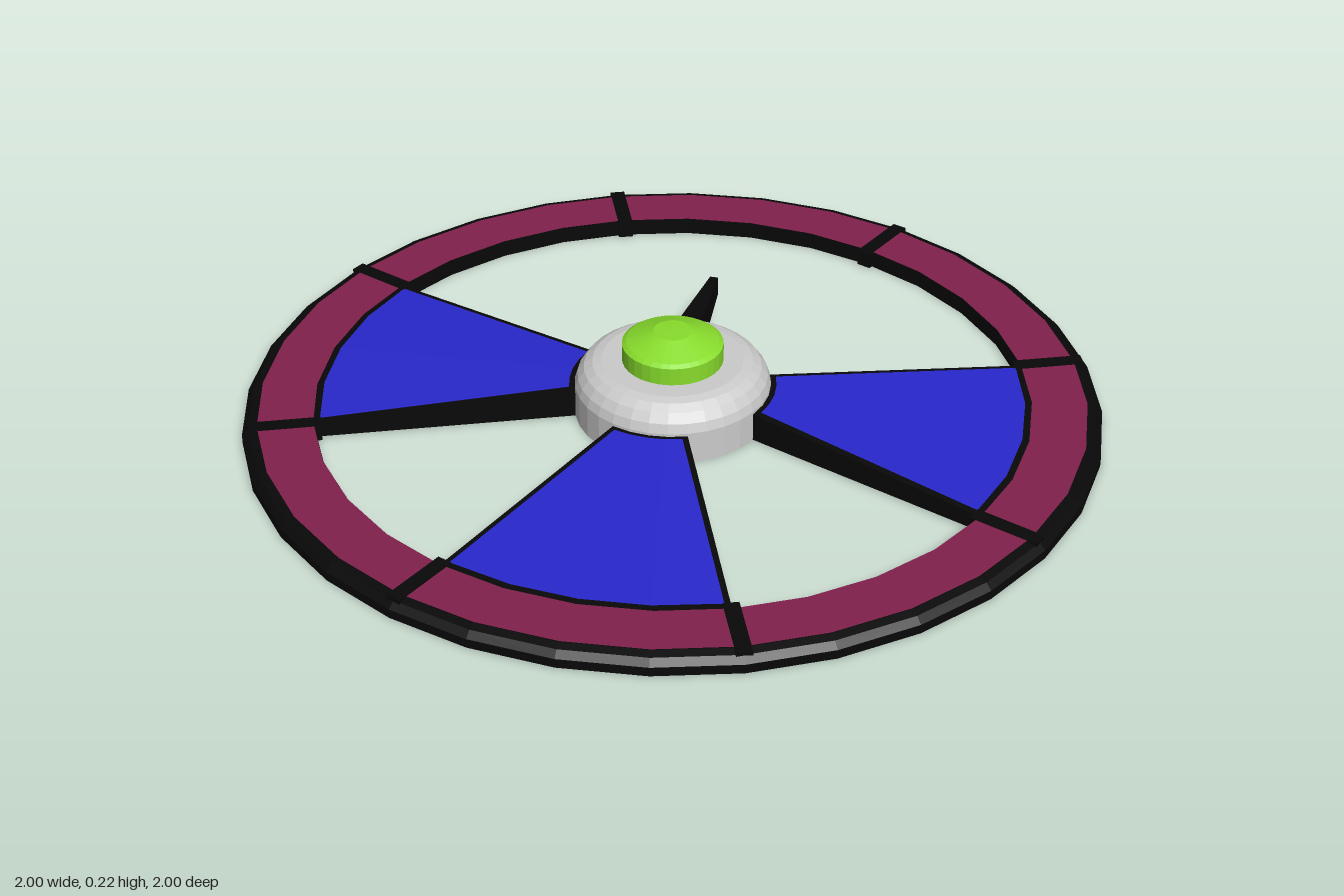
import * as THREE from 'three';
import { ParametricGeometry } from 'three/addons/geometries/ParametricGeometry.js';

const SIDES = 32;
const mat = (color, side = THREE.FrontSide) =>
  new THREE.MeshStandardMaterial({ color, flatShading: true, side });
const black = mat(0x080808, THREE.DoubleSide);
const purple = mat(0x80204c, THREE.DoubleSide);
const blue = mat(0x2828cc, THREE.DoubleSide);
const lime = mat(0x88dc2c);
const grey = mat(0xcccccc);

const points = (list) => list.map(([x, y]) => new THREE.Vector2(x, y));

function add(parent, name, geometry, material) {
  const mesh = new THREE.Mesh(geometry, material);
  mesh.name = name;
  parent.add(mesh);
  return mesh;
}
const turned = (list, ...arc) => new THREE.LatheGeometry(points(list), ...(arc.length ? arc : [SIDES]));

// Height of a spoke's top at a given radius
const spokeTop = (r) => 0.072 - 0.032 * (r - 0.22) / 0.615;
const HALF = Math.PI / 8;

// Wedge spoke centred on +z: black body, closed sides and an inset panel
function makeSpoke() {
  const spoke = new THREE.Group();
  spoke.name = 'spoke';
  const profile = [[0.2, 0.002], [0.835, 0.002], [0.835, spokeTop(0.835)], [0.2, spokeTop(0.2)]];
  add(spoke, 'spokeBody', turned([...profile, profile[0]], 4, -HALF, 2 * HALF), black);
  for (const phi of [-HALF, HALF]) {
    const side = add(spoke, 'spokeSide', new THREE.ShapeGeometry(new THREE.Shape(points(profile))), black);
    side.rotation.y = phi - Math.PI / 2;
  }
  const panel = new ParametricGeometry((u, v, target) => {
    const r = 0.242 + v * (0.82 - 0.242);
    const phi = (2 * u - 1) * (HALF - 0.014 / r);
    target.set(r * Math.sin(phi), spokeTop(r) + 0.003, r * Math.cos(phi));
  }, 4, 1);
  add(spoke, 'spokePanel', panel, blue);
  return spoke;
}

export function createModel() {
  const model = new THREE.Group();
  model.name = 'wheel';

  // Rim with a bevelled outer edge and a coloured top band
  add(model, 'rim', turned([[0.835, 0], [1, 0], [1, 0.022], [0.985, 0.036], [0.965, 0.04], [0.835, 0.04], [0.835, 0]]), black);
  add(model, 'rimBand', turned([[0.965, 0.042], [0.836, 0.042]]), purple);

  // Eight dividers across the rim
  for (let i = 0; i < 8; i++) {
    const divider = new THREE.Group();
    divider.name = 'rimDivider';
    divider.rotation.y = HALF + i * Math.PI / 4;
    add(divider, 'dividerBar', new THREE.BoxGeometry(0.036, 0.041, 0.168), black).position.set(0, 0.0235, 0.902);
    model.add(divider);
  }

  // Three spokes: front, left and right
  for (const angle of [0, Math.PI / 2, -Math.PI / 2]) {
    const spoke = makeSpoke();
    spoke.rotation.y = angle;
    model.add(spoke);
  }

  // Rounded hub and its cap
  add(model, 'hub', turned([[0, 0], [0.229, 0], [0.229, 0.078], [0.222, 0.1], [0.207, 0.121], [0.187, 0.134], [0.165, 0.139], [0, 0.139]]), grey);
  add(model, 'hubCap', turned([[0.118, 0.13], [0.118, 0.182], [0.108, 0.189], [0.045, 0.214], [0, 0.215]]), lime);

  // Tapered fin at the back
  const fin = new THREE.BoxGeometry(1, 1, 1);
  const p = fin.attributes.position;
  for (let i = 0; i < p.count; i++) {
    const tip = p.getZ(i) < 0;
    const y = p.getY(i) > 0 ? (tip ? 0.117 : 0.143) : (tip ? 0.07 : 0.045);
    p.setXYZ(i, p.getX(i) * (tip ? 0.02 : 0.05), y, tip ? -0.42 : -0.175);
  }
  add(model, 'fin', fin, black);

  return model;
}
